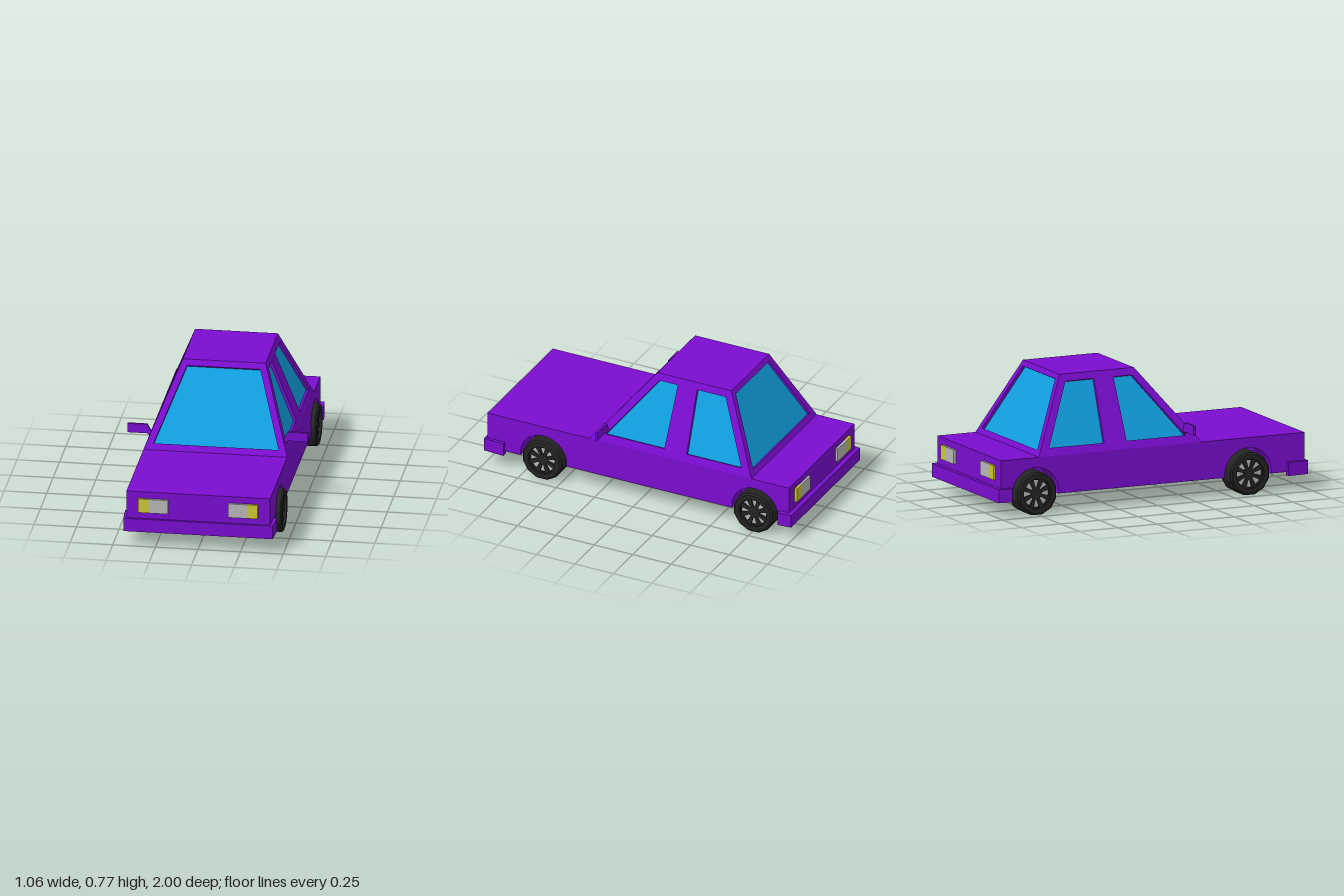
import * as THREE from 'three';

const mat = (color, side = THREE.FrontSide) =>
  new THREE.MeshStandardMaterial({ color, flatShading: true, side });
const paint = mat(0x7a0dd0), glass = mat(0x109fe0, THREE.DoubleSide);
const rubber = mat(0x242424), grey = mat(0xb8b8b8), yellow = mat(0xcdc932);

const pts = (list) => list.map(([x, y]) => new THREE.Vector2(x, y));
const shapeOf = (list) => new THREE.Shape(pts(list));
const extrude = (shape, depth, curveSegments = 12) =>
  new THREE.ExtrudeGeometry(shape, { depth, bevelEnabled: false, curveSegments });

function add(parent, name, geometry, material, x = 0, y = 0, z = 0) {
  const mesh = new THREE.Mesh(geometry, material);
  mesh.name = name;
  mesh.position.set(x, y, z);
  parent.add(mesh);
  return mesh;
}

const AXLES = [0.62, -0.753], WHEEL_Y = 0.125;
const FLOOR = 0.11, WAIST = 0.335, ROOF = 0.775;
const NOSE = 0.985, TAIL = -0.975, HALF = 0.422, WELL = 0.3;

// Lower body: a core box with side slabs cut out for the wheel arches
function makeBody() {
  const body = new THREE.Group();
  body.name = 'body';
  add(body, 'bodyCore', new THREE.BoxGeometry(WELL * 2, WAIST - FLOOR, NOSE - TAIL), paint,
    0, (WAIST + FLOOR) / 2, (NOSE + TAIL) / 2);
  const side = new THREE.Shape();
  const r = 0.15, a = Math.asin((WHEEL_Y - FLOOR) / r);
  side.moveTo(-NOSE, FLOOR);
  for (const z of AXLES) {
    side.lineTo(-z - r * Math.cos(a), FLOOR);
    side.absarc(-z, WHEEL_Y, r, Math.PI + a, -a, true);
  }
  side.lineTo(-TAIL, FLOOR);
  side.lineTo(-TAIL, WAIST);
  side.lineTo(-NOSE, WAIST);
  const slab = extrude(side, HALF - WELL, 14).rotateY(Math.PI / 2);
  add(body, 'leftSide', slab, paint, WELL);
  add(body, 'rightSide', slab, paint, -HALF);
  return body;
}

// Leaning cabin wall with recessed windows; points are (sideways, height)
function makePanel(name, angle, distance, lean, outline, windows) {
  const group = new THREE.Group();
  group.name = name;
  const stretch = Math.hypot(ROOF - WAIST, lean) / (ROOF - WAIST);
  const flat = (list) => list.map(([u, y]) => [u, (y - WAIST) * stretch]);
  const wall = shapeOf(flat(outline));
  const tilted = new THREE.Group();
  tilted.position.set(0, WAIST, distance);
  tilted.rotation.x = -Math.atan2(lean, ROOF - WAIST);
  group.add(tilted);
  for (const w of windows) {
    wall.holes.push(new THREE.Path(pts(flat(w))));
    add(tilted, 'windowGlass', new THREE.ShapeGeometry(shapeOf(flat(w))), glass, 0, 0, -0.018);
  }
  add(tilted, 'windowFrame', extrude(wall, 0.03), paint, 0, 0, -0.03);
  group.rotation.y = angle;
  return group;
}

function makeCabin() {
  const cabin = new THREE.Group();
  cabin.name = 'cabin';
  const ends = [[-HALF, WAIST], [HALF, WAIST], [0.243, ROOF], [-0.243, ROOF]];
  const screen = [[-0.367, 0.367], [0.367, 0.367], [0.215, 0.745], [-0.215, 0.745]];
  const sides = [[-0.32, WAIST], [0.73, WAIST], [0.51, ROOF], [0.03, ROOF]];
  const doors = [
    [[-0.225, 0.38], [0.155, 0.38], [0.17, 0.735], [0.05, 0.735]],
    [[0.3, 0.38], [0.655, 0.38], [0.48, 0.735], [0.295, 0.735]],
  ];
  const flip = (list) => list.map(([u, y]) => [-u, y]).reverse();
  cabin.add(
    makePanel('windscreen', 0, 0.32, 0.35, ends, [screen]),
    makePanel('rearWindow', Math.PI, 0.73, 0.22, ends, [screen]),
    makePanel('leftWindows', Math.PI / 2, HALF, 0.179, sides, doors),
    makePanel('rightWindows', -Math.PI / 2, HALF, 0.179, flip(sides), doors.map(flip)));
  add(cabin, 'roof', new THREE.BoxGeometry(0.486, 0.03, 0.48), paint, 0, ROOF - 0.015, -0.27);
  return cabin;
}

// Wheel with its axle along +x: tyre, pale disc and a dark cover with wedge openings
function makeWheel() {
  const wheel = new THREE.Group();
  wheel.name = 'wheel';
  const profile = [[0, 0], [0.129, 0], [0.129, 0.122], [0.118, 0.132], [0.09, 0.132], [0.09, 0.095], [0, 0.095]];
  const tyre = new THREE.LatheGeometry(pts(profile), 12).rotateY(Math.PI / 12).rotateZ(-Math.PI / 2);
  add(wheel, 'tyre', tyre, rubber);
  add(wheel, 'rimDisc', new THREE.CylinderGeometry(0.088, 0.088, 0.01, 24).rotateZ(Math.PI / 2), grey, 0.1);
  const cover = new THREE.Shape().absarc(0, 0, 0.091, 0, Math.PI * 2, false);
  for (let i = 0; i < 8; i++) {
    const a = (i * Math.PI) / 4;
    const corner = (r, d) => [r * Math.cos(a + d), r * Math.sin(a + d)];
    cover.holes.push(new THREE.Path(pts(
      [corner(0.035, -0.15), corner(0.083, -0.22), corner(0.083, 0.22), corner(0.035, 0.15)])));
  }
  add(wheel, 'rimCover', extrude(cover, 0.012).rotateY(Math.PI / 2), rubber, 0.106);
  return wheel;
}

// Wrap-around bumper, drawn in plan with its outer face towards -z
function makeBumper(name, inner, body, wide) {
  const plan = shapeOf([[-wide, inner], [-0.41, inner], [-0.41, body - 0.03], [0.41, body - 0.03],
    [0.41, inner], [wide, inner], [wide - 0.008, 1], [-wide + 0.008, 1]]);
  const mesh = new THREE.Mesh(extrude(plan, 0.08).rotateX(-Math.PI / 2), paint);
  mesh.name = name;
  mesh.position.y = 0.09;
  return mesh;
}

export function createModel() {
  const car = new THREE.Group();
  car.name = 'car';
  car.add(makeBody(), makeCabin());

  const front = makeBumper('frontBumper', 0.87, NOSE, 0.446);
  front.rotation.y = Math.PI;
  car.add(front, makeBumper('rearBumper', 0.915, -TAIL, 0.452));

  // Mirror blade with a short arm sloping down to the door
  const mirror = extrude(shapeOf([[0.385, 0.405], [0.4, 0.39], [0.415, 0.402], [0.53, 0.402],
    [0.53, 0.457], [0.413, 0.457]]), 0.016);
  const mirrored = mirror.clone().rotateY(Math.PI).translate(0, 0, 0.016);

  for (const s of [1, -1]) {
    const label = s > 0 ? 'left' : 'right';
    add(car, label + 'Mirror', s > 0 ? mirror : mirrored, paint, 0, 0, 0.215);
    for (const z of AXLES) {
      const wheel = makeWheel();
      wheel.position.set(s * 0.32, WHEEL_Y, z);
      if (s < 0) wheel.rotation.y = Math.PI;
      car.add(wheel);
    }
    // Lamps: pale inner lens, yellow outer indicator
    for (const z of [NOSE, TAIL]) {
      add(car, label + 'Lamp', new THREE.BoxGeometry(0.115, 0.085, 0.03), grey, s * 0.2335, 0.2525, z);
      add(car, label + 'Indicator', new THREE.BoxGeometry(0.06, 0.085, 0.03), yellow, s * 0.321, 0.2525, z);
    }
  }
  return car;
}
